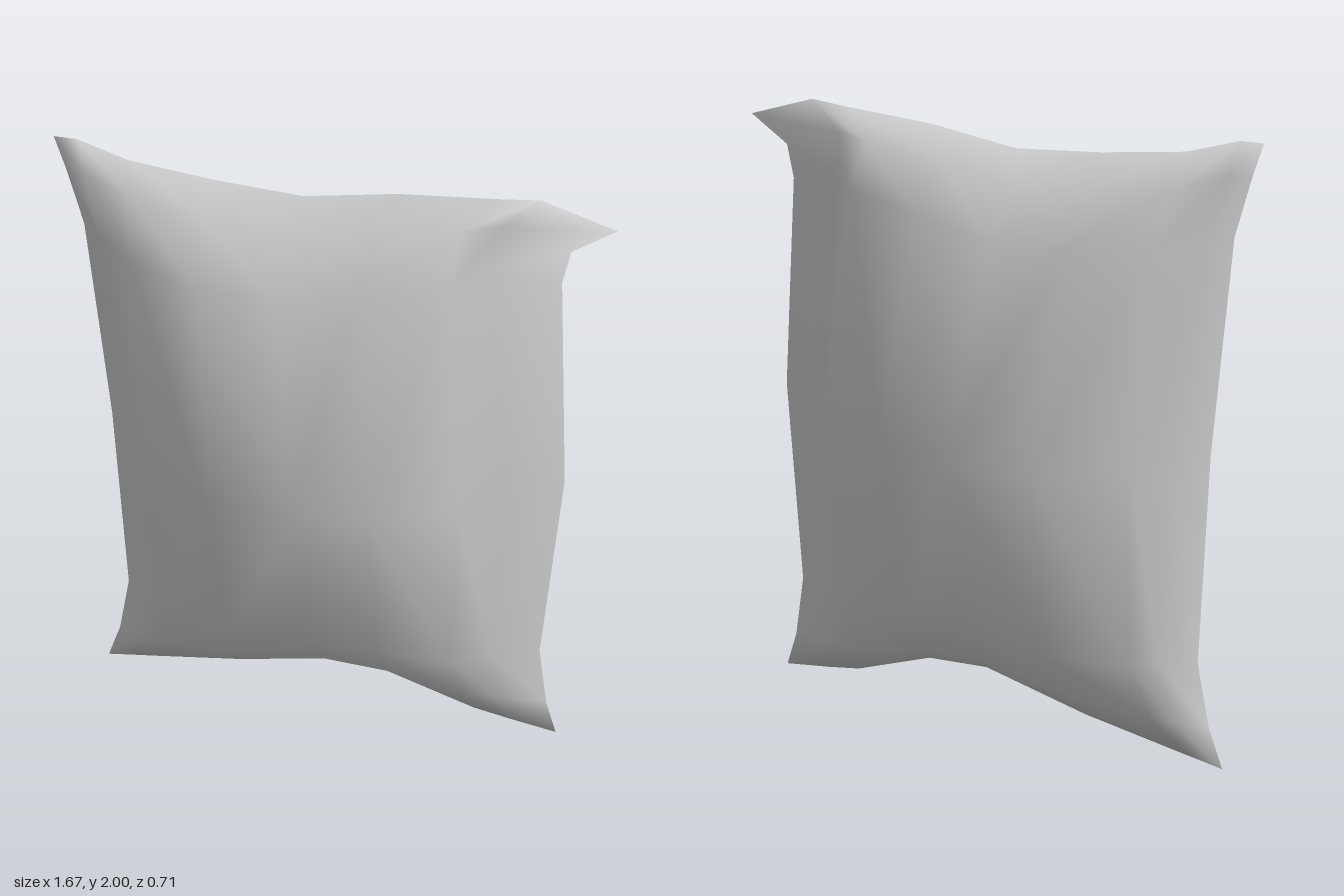
import * as THREE from 'three';
import { mergeVertices } from 'three/addons/utils/BufferGeometryUtils.js';

// Seam outline: bottom and top run left to right, the sides run upwards
const bottom = [[-0.80, 0], [-0.70, 0.018], [-0.62, 0.032], [-0.33, 0.085], [0.02, 0.175], [0.23, 0.163], [0.50, 0.062], [0.62, 0.042], [0.78, 0.02]];
const top = [[-0.84, 2], [-0.77, 2], [-0.61, 1.953], [-0.35, 1.925], [-0.08, 1.91], [0.20, 1.957], [0.49, 1.982], [0.61, 1.995], [0.83, 1.93]];
const sideA = [[-0.80, 0], [-0.75, 0.135], [-0.705, 0.35], [-0.72, 1.04], [-0.765, 1.72], [-0.81, 1.90], [-0.84, 2]];
const sideB = [[0.78, 0.02], [0.74, 0.145], [0.705, 0.36], [0.74, 1.05], [0.685, 1.74], [0.705, 1.845], [0.83, 1.93]];

// Grid parameters and how far the cloth puffs out along each of them
const us = [0, 0.075, 0.116, 0.3, 0.493, 0.65, 0.815, 0.897, 1];
const vs = [0, 0.06, 0.15, 0.5, 0.875, 0.96, 1];
const puffU = [0, 0.26, 0.59, 0.985, 1, 0.945, 0.69, 0.24, 0];
const puffV = [0, 0.25, 0.57, 1, 0.645, 0.21, 0];

const lerp = THREE.MathUtils.lerp;

// Spans the side seams; the sag of the bottom and top seams fades inwards
function sheetPoint(i, j, side) {
  const u = us[i], v = vs[j], last = us.length - 1;
  const [x, y] = [0, 1].map((k) => {
    const sag = (edge) => edge[i][k] - lerp(edge[0][k], edge[last][k], u);
    return lerp(sideA[j][k], sideB[j][k], u) + sag(bottom) * (1 - v) ** 8 + sag(top) * v ** 2;
  });
  // the lower end is filled more evenly from side to side
  const puff = puffU[i] ** Math.min(1, 0.6 + v) * puffV[j];
  const seamZ = lerp(-0.008, -0.025, u) * (1 - puff ** 4);
  return [x, y, seamZ + side * 0.355 * puff];
}

function cushionGeometry() {
  const nu = us.length, nv = vs.length, positions = [], index = [];
  for (const side of [1, -1]) {
    const base = positions.length / 3;
    for (let j = 0; j < nv; j++)
      for (let i = 0; i < nu; i++) positions.push(...sheetPoint(i, j, side));
    for (let j = 0; j < nv - 1; j++)
      for (let i = 0; i < nu - 1; i++) {
        const a = base + j * nu + i, b = a + 1, c = b + nu, d = a + nu;
        // split each cell along the diagonal leading to the nearest corner
        const rising = (us[i] < 0.49) === (vs[j] < 0.5);
        const tris = rising ? [[a, b, c], [a, c, d]] : [[a, b, d], [b, c, d]];
        for (const [p, q, r] of tris) index.push(...(side > 0 ? [p, q, r] : [p, r, q]));
      }
  }
  const geometry = new THREE.BufferGeometry();
  geometry.setAttribute('position', new THREE.Float32BufferAttribute(positions, 3));
  geometry.setIndex(index);
  // join both sheets along the seam
  const joined = mergeVertices(geometry, 1e-5);
  joined.computeVertexNormals();
  return joined;
}

export function createModel() {
  const group = new THREE.Group();
  group.name = 'pillow';
  const material = new THREE.MeshStandardMaterial({ color: 0xcccccc, side: THREE.DoubleSide });
  const cushion = new THREE.Mesh(cushionGeometry(), material);
  cushion.name = 'cushion';
  group.add(cushion);
  return group;
}
